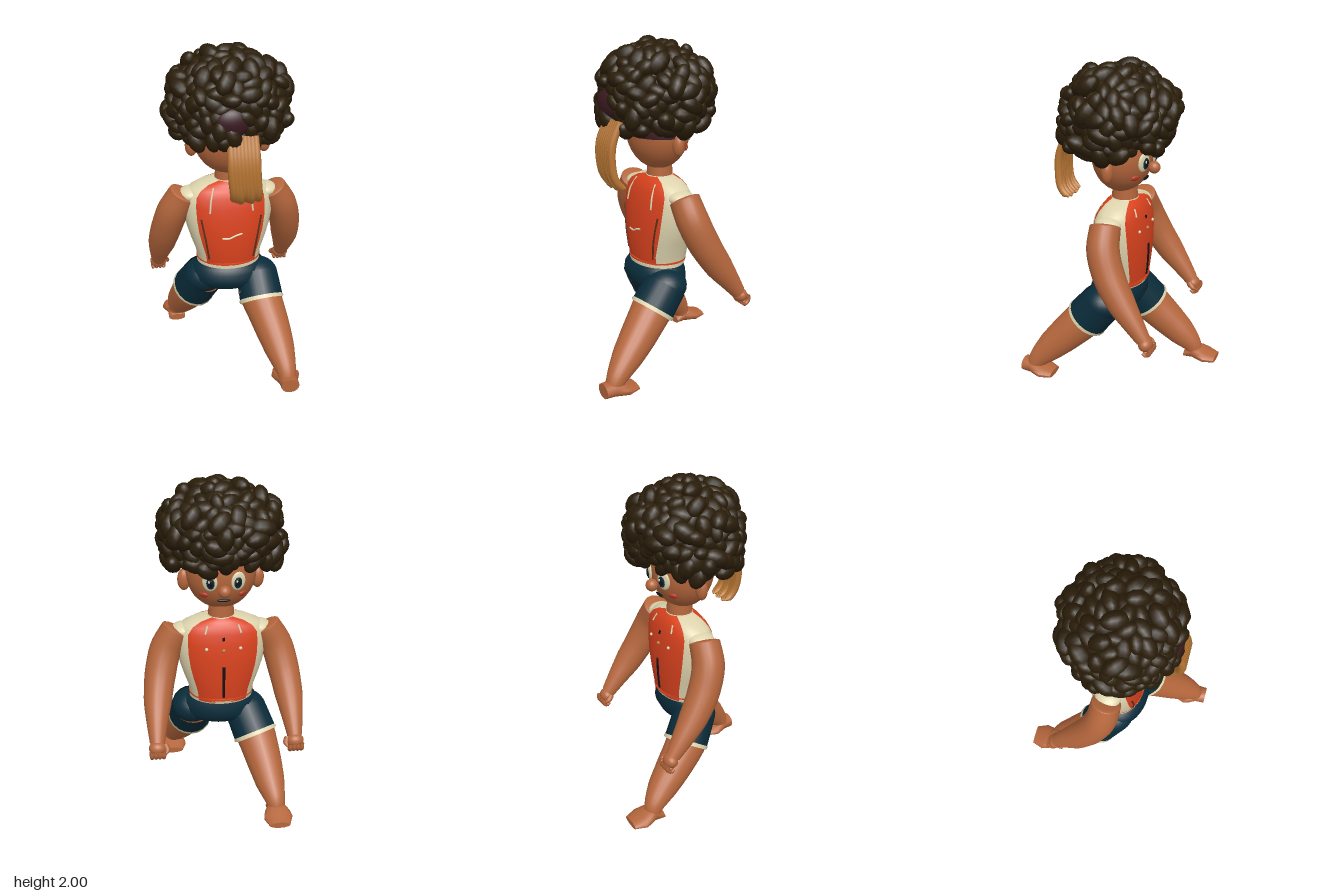
import * as THREE from 'three';
import { mergeGeometries, toCreasedNormals } from 'three/addons/utils/BufferGeometryUtils.js';

const V = (x, y, z) => new THREE.Vector3(x, y, z);
const material = (name, color) => {
  const m = new THREE.MeshStandardMaterial({ color, side: THREE.DoubleSide });
  m.name = name;
  return m;
};

// Skin over elliptical sections [y, radiusX, centreZ, radiusZ, centreX]
function loft(sections, a0 = 0, a1 = Math.PI * 2, seg = 36, power = 1) {
  const pos = [], index = [];
  const soft = (v) => Math.sign(v) * Math.abs(v) ** power;
  for (const [y, rx, cz, rz, cx = 0] of sections)
    for (let j = 0; j <= seg; j++) {
      const a = a0 + (a1 - a0) * j / seg;
      pos.push(cx + rx * soft(Math.sin(a)), y, cz + rz * soft(Math.cos(a)));
    }
  for (let i = 0; i < sections.length - 1; i++)
    for (let j = 0; j < seg; j++) {
      const a = i * (seg + 1) + j, c = a + seg + 1;
      index.push(a, a + 1, c, a + 1, c + 1, c);
    }
  const g = new THREE.BufferGeometry();
  g.setAttribute('position', new THREE.Float32BufferAttribute(pos, 3));
  g.setIndex(index);
  return toCreasedNormals(g, 0.9);
}

// Tube of varying radius through points [x, y, z, radius]
function limb(points, rings = 24, seg = 20) {
  const curve = new THREE.CatmullRomCurve3(points.map((p) => V(p[0], p[1], p[2])));
  const g = new THREE.TubeGeometry(curve, rings, 1, seg);
  const pos = g.attributes.position, v = V(0, 0, 0);
  for (let i = 0; i <= rings; i++) {
    const c = curve.getPointAt(i / rings);
    const t = curve.getUtoTmapping(i / rings) * (points.length - 1);
    const k = Math.min(Math.floor(t), points.length - 2);
    const r = THREE.MathUtils.lerp(points[k][3], points[k + 1][3], t - k);
    for (let j = 0; j <= seg; j++) {
      const n = i * (seg + 1) + j;
      v.fromBufferAttribute(pos, n).sub(c).multiplyScalar(r).add(c);
      pos.setXYZ(n, v.x, v.y, v.z);
    }
  }
  return g;
}

const ball = (x, y, z, rx, ry = rx, rz = rx) =>
  new THREE.SphereGeometry(1, 24, 16).scale(rx, ry, rz).translate(x, y, z);

const TORSO = [[0.67, 0.188, -0.01, 0.15], [0.74, 0.2, -0.01, 0.16], [0.82, 0.228, -0.012, 0.163],
  [0.9, 0.252, -0.014, 0.163], [0.98, 0.266, -0.016, 0.158], [1.05, 0.27, -0.018, 0.148],
  [1.11, 0.266, -0.02, 0.135], [1.15, 0.23, -0.022, 0.12], [1.18, 0.165, -0.024, 0.1], [1.2, 0.07, -0.025, 0.075]];

// Point on the shirt at a given x and y, on the +z or -z side
function onShirt(x, y, side) {
  const k = Math.max(0, TORSO.findIndex((s) => s[0] >= y) - 1);
  const t = (y - TORSO[k][0]) / (TORSO[k + 1][0] - TORSO[k][0]);
  const [, rx, cz, rz] = TORSO[k].map((v, i) => THREE.MathUtils.lerp(v, TORSO[k + 1][i], t));
  const s = Math.min(1, Math.abs(x) / rx) ** (1 / 0.9);
  return [x, y, cz + side * (rz * Math.sqrt(1 - s * s) ** 0.9 + 0.001)];
}

export function createModel() {
  const model = new THREE.Group();
  model.name = 'strongCharacter';
  const skin = material('skin', 0xb4663c), red = material('shirt red', 0xda421e);
  const cream = material('cream', 0xded4ae), teal = material('shorts teal', 0x0a2c3a);
  const hair = material('dark brown hair', 0x2a1d09), maroon = material('maroon', 0x3a1a20);
  const tan = material('tan', 0xb87634), blush = material('blush', 0xbe3a26);
  const black = material('black', 0x101216), brown = material('trim brown', 0x5a3018);
  const add = (name, geo, mat, parent = model) => {
    const m = new THREE.Mesh(geo, mat);
    m.name = name;
    parent.add(m);
    return m;
  };

  // Shirt: red panels at front and back, cream sides
  for (let i = 0; i < 4; i++) {
    const panel = i % 2 === 1, mid = (i + 1) * Math.PI / 2, half = panel ? 0.83 : Math.PI / 2 - 0.83;
    add(panel ? 'shirtPanel' : 'shirtSide', loft(TORSO, mid - half, mid + half, 14, 0.9), panel ? red : cream);
  }
  add('shirtBelt', loft([[0.682, 0.18, -0.01, 0.14], [0.684, 0.197, -0.01, 0.161],
    [0.694, 0.197, -0.01, 0.161], [0.7, 0.18, -0.01, 0.14]]), red);
  add('waistband', loft([[0.655, 0.17, -0.005, 0.13], [0.66, 0.194, -0.005, 0.153],
    [0.682, 0.194, -0.008, 0.157], [0.684, 0.17, -0.01, 0.13]]), cream);
  add('collar', new THREE.TorusGeometry(0.075, 0.006, 8, 28).rotateX(Math.PI / 2).translate(0, 1.197, -0.025), cream);

  // Stitching, cords and zip lying on the shirt
  const trim = (name, side, pts, r, mat) =>
    add(name, limb(pts.map(([x, y]) => [...onShirt(x, y, side), r]), 16, 6), mat);
  for (const s of [-1, 1]) {
    trim('backSeam', 1, [[s * 0.135, 0.72], [s * 0.155, 0.85], [s * 0.18, 0.99]], 0.006, brown);
    trim('backCord', 1, [[s * 0.1, 1.17], [s * 0.12, 1.1], [s * 0.128, 1.03]], 0.006, cream);
    trim('chestCord', -1, [[s * 0.09, 1.165], [s * 0.105, 1.12]], 0.006, cream);
    add('chestButton', ball(...onShirt(s * 0.1, 1.03, -1), 0.01), cream);
  }
  trim('backCrease', 1, [[-0.06, 0.87], [-0.02, 0.868], [0.02, 0.885], [0.06, 0.895]], 0.006, cream);
  trim('zip', -1, [[0, 0.71], [0, 0.82], [0, 0.92]], 0.008, black);
  trim('zipTop', -1, [[0, 1.08], [0, 1.1]], 0.007, black);
  add('zipPull', ball(...onShirt(0, 1.02, -1), 0.012), tan);

  // Arms and fists
  for (const s of [-1, 1]) {
    const arm = new THREE.Group();
    arm.name = s > 0 ? 'leftArm' : 'rightArm';
    model.add(arm);
    const path = [[0.268, 1.105, -0.02, 0.09], [0.333, 0.99, -0.035, 0.096], [0.372, 0.85, -0.09, 0.094],
      [0.395, 0.71, -0.175, 0.084], [0.405, 0.6, -0.255, 0.062], [0.41, 0.51, -0.32, 0.044]];
    add('arm', limb(path.map(([x, y, z, r]) => [s * x, y, z, r])), skin, arm);
    // Flat-topped shoulder end and the shirt's shoulder edge
    const cap = add('shoulderCap', ball(0, 0, 0, 0.09, 0.09, 0.016), skin, arm);
    cap.position.set(s * 0.268, 1.105, -0.02);
    cap.lookAt(s * 0.2, 1.225, -0.005);
    add('shirtShoulder', ball(s * 0.22, 1.105, -0.02, 0.082, 0.045, 0.08), cream, arm);
    add('fist', ball(s * 0.41, 0.487, -0.335, 0.052, 0.042, 0.042), skin, arm);
    for (let i = 0; i < 4; i++) {
      const x = s * (0.376 + i * 0.023);
      add('finger', limb([[x, 0.485, -0.372, 0.014], [x, 0.455, -0.373, 0.014], [x, 0.433, -0.35, 0.012],
        [x, 0.445, -0.33, 0.008]], 8, 8), skin, arm);
    }
    add('thumb', limb([[s * 0.365, 0.5, -0.325, 0.018], [s * 0.352, 0.48, -0.35, 0.016],
      [s * 0.365, 0.462, -0.372, 0.006]], 8, 8), skin, arm);
  }

  // Shorts seat
  add('shortsSeat', loft([[0.485, 0.002, 0.01, 0.002], [0.488, 0.13, 0.01, 0.09], [0.52, 0.2, 0.01, 0.14],
    [0.57, 0.235, 0.012, 0.168], [0.62, 0.23, 0.01, 0.163], [0.65, 0.21, 0.005, 0.152], [0.665, 0.188, 0, 0.145]]), teal);

  // Striding legs, one to the back and one to the front
  const legs = [
    { name: 'backLeg', hip: [0.172, 0.555, 0.045, 0.128], hem: [0.184, 0.43, 0.145, 0.135], foot: [0.285, 0.55],
      path: [[0.16, 0.49, 0.09, 0.12], [0.185, 0.43, 0.15, 0.125], [0.23, 0.29, 0.285, 0.108],
        [0.255, 0.2, 0.372, 0.092], [0.278, 0.1, 0.458, 0.06], [0.282, 0.05, 0.48, 0.05]] },
    { name: 'frontLeg', hip: [-0.15, 0.55, -0.01, 0.128], hem: [-0.205, 0.41, -0.105, 0.135], foot: [-0.297, -0.34],
      path: [[-0.17, 0.49, -0.045, 0.12], [-0.21, 0.4, -0.11, 0.124], [-0.25, 0.265, -0.235, 0.106],
        [-0.272, 0.178, -0.318, 0.09], [-0.293, 0.095, -0.385, 0.06], [-0.298, 0.045, -0.4, 0.05]] }];
  for (const { name, hip, hem, foot, path } of legs) {
    const leg = new THREE.Group();
    leg.name = name;
    model.add(leg);
    add('leg', limb(path), skin, leg);
    add('shortsLeg', limb([hip, hem]), teal, leg);
    add('shortsHip', ball(hip[0], hip[1], hip[2], 0.13, 0.105, 0.128), teal, leg);
    const d = V(hem[0] - hip[0], hem[1] - hip[1], hem[2] - hip[2]).normalize();
    const at = (t, r) => [hem[0] + d.x * t, hem[1] + d.y * t, hem[2] + d.z * t, r];
    add('shortsHem', limb([at(-0.012, 0.13), at(-0.006, 0.139), at(0.01, 0.139), at(0.016, 0.122)], 6), cream, leg);
    // Foot runs from heel to toe along -z
    const [x, heel] = foot, tall = name === 'backLeg' ? 0.05 : 0.028;
    add('foot', loft([[0, 0.001, tall, 0.001, x], [0, 0.055, tall, tall - 0.005, x], [0.06, 0.058, 0.05, 0.048, x],
      [0.1, 0.078, 0.045, 0.042, x], [0.14, 0.088, 0.036, 0.034, x], [0.21, 0.062, 0.03, 0.019, x],
      [0.21, 0.001, 0.03, 0.001, x]], 0, Math.PI * 2, 14).rotateX(-Math.PI / 2).translate(0, 0, heel), skin, leg);
  }

  // Head, neck and ears
  const HEAD = { y: 1.47, z: -0.01, rx: 0.208, ry: 0.23, rz: 0.178 };
  add('neck', new THREE.CylinderGeometry(0.07, 0.08, 0.14, 24).translate(0, 1.24, -0.025), skin);
  add('head', ball(0, HEAD.y, HEAD.z, HEAD.rx, HEAD.ry, HEAD.rz), skin);
  for (const s of [-1, 1]) add('ear', ball(s * 0.215, 1.415, -0.01, 0.038, 0.065, 0.034), skin);
  add('nose', ball(0, 1.405, -0.208, 0.036), skin);
  add('scalp', new THREE.SphereGeometry(1, 24, 16, 0, Math.PI, 0, Math.PI * 0.52)
    .scale(0.216, 0.238, 0.187).translate(0, HEAD.y, HEAD.z), maroon);

  // Face details set against the head surface
  const feature = (name, x, y, w, h, depth, out, mat) => {
    const z = -HEAD.rz * Math.sqrt(1 - (x / HEAD.rx) ** 2 - ((y - HEAD.y) / HEAD.ry) ** 2);
    const n = V(x / HEAD.rx ** 2, (y - HEAD.y) / HEAD.ry ** 2, z / HEAD.rz ** 2).normalize();
    const m = add(name, ball(0, 0, 0, w, h, depth), mat);
    m.position.set(x, y, HEAD.z + z).addScaledVector(n, out);
    m.lookAt(m.position.clone().add(n));
  };
  for (const s of [-1, 1]) {
    feature('eyeWhite', s * 0.08, 1.455, 0.044, 0.056, 0.014, 0.002, cream);
    feature('iris', s * 0.074, 1.45, 0.024, 0.034, 0.005, 0.014, teal);
    feature('pupil', s * 0.073, 1.45, 0.015, 0.022, 0.004, 0.018, black);
    feature('eyeGlint', s * 0.073 + 0.007, 1.461, 0.006, 0.008, 0.003, 0.021, cream);
    feature('cheek', s * 0.112, 1.365, 0.028, 0.017, 0.009, 0.001, blush);
  }
  feature('mouth', 0, 1.335, 0.038, 0.009, 0.009, 0.004, black);

  // Curly hair: a dark core covered in overlapping curls, lifted over the face
  add('hairCore', loft([[1.51, 0.01, 0.04, 0.01], [1.515, 0.25, 0.06, 0.2], [1.58, 0.295, 0.02, 0.275],
    [1.7, 0.3, 0, 0.295], [1.8, 0.27, 0, 0.27], [1.88, 0.2, 0, 0.2], [1.93, 0.1, 0, 0.1], [1.94, 0.001, 0, 0.001]]), hair);
  let seed = 7;
  const rand = () => (seed = (seed * 16807) % 2147483647) / 2147483647;
  const curls = [], count = 190;
  for (let i = 0; i < count; i++) {
    const y = 1 - 1.78 * (i + 0.5) / count, a = i * 2.39996;
    const h = y > 0 ? Math.sqrt(1 - y * y) : 1 - 0.16 * y * y;
    const n = V(h * Math.cos(a), y, h * Math.sin(a));
    const p = V(n.x * 0.312 - 0.008, 1.7 + y * 0.24, n.z * 0.302 + 0.012).addScaledVector(n, (rand() - 0.5) * 0.055);
    const size = 0.8 + rand() * 0.4, spin = rand() * 6.28;
    if (y < 0 && p.z < -0.1) p.y += 0.07 * -y * Math.min(1, (-0.1 - p.z) / 0.1);
    if (p.z > 0.2 && Math.hypot(p.x + 0.03, p.y - 1.65) < 0.078) continue; // gap for the hair tie
    const q = new THREE.Quaternion().setFromUnitVectors(V(0, 0, 1), n.normalize())
      .multiply(new THREE.Quaternion().setFromEuler(new THREE.Euler(rand() - 0.5, rand() - 0.5, spin)));
    curls.push(new THREE.SphereGeometry(1, 12, 8).applyMatrix4(
      new THREE.Matrix4().compose(p, q, V(0.045, 0.068, 0.045).multiplyScalar(size))));
  }
  add('curls', mergeGeometries(curls), hair);

  // Hair tie and hanging ribbed tail
  add('hairTie', ball(-0.03, 1.65, 0.3, 0.1, 0.085, 0.05), maroon);
  for (let i = 0; i < 8; i++) {
    const x = -0.042 + i * 0.02, e = 0.008 * (i % 3);
    add('tailStrand', limb([[x, 1.57, 0.3, 0.02], [x, 1.44, 0.354, 0.024], [x + 0.005, 1.33, 0.36, 0.023],
      [x + 0.015, 1.25 - e, 0.345, 0.023], [x + 0.02, 1.205 - e, 0.31, 0.022], [x + 0.02, 1.195 - e, 0.285, 0.008]],
    16, 8), tan);
  }
  return model;
}
